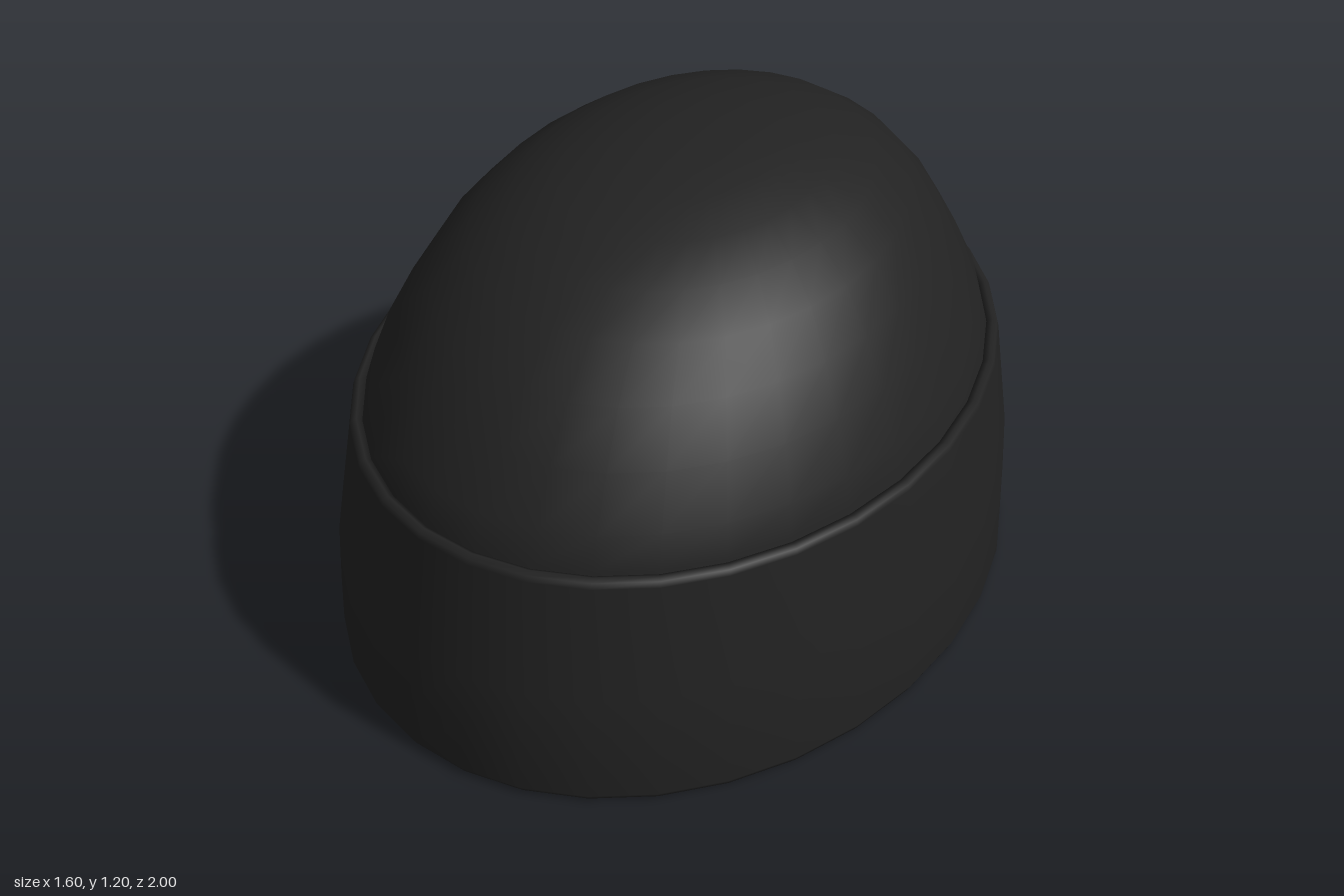
import * as THREE from 'three';

const SEGMENTS = 32;

// Skin a stack of elliptical rings [halfWidth, y, halfDepth, centreZ].
function loft(rings, { apex = null, loop = false } = {}) {
  const pos = [], index = [], n = rings.length;
  for (const [a, y, b, c] of rings) {
    for (let j = 0; j < SEGMENTS; j++) {
      const t = (j / SEGMENTS) * Math.PI * 2;
      pos.push(a * Math.cos(t), y, c + b * Math.sin(t));
    }
  }
  for (let i = 0; i < (loop ? n : n - 1); i++) {
    const lo = i * SEGMENTS, hi = ((i + 1) % n) * SEGMENTS;
    for (let j = 0; j < SEGMENTS; j++) {
      const k = (j + 1) % SEGMENTS;
      index.push(lo + j, hi + j, lo + k, hi + j, hi + k, lo + k);
    }
  }
  if (apex) {
    const tip = pos.length / 3, last = (n - 1) * SEGMENTS;
    pos.push(...apex);
    for (let j = 0; j < SEGMENTS; j++) index.push(last + j, tip, last + (j + 1) % SEGMENTS);
  }
  const geo = new THREE.BufferGeometry();
  geo.setAttribute('position', new THREE.Float32BufferAttribute(pos, 3));
  geo.setIndex(index);
  geo.computeVertexNormals();
  return geo;
}

export function createModel() {
  const group = new THREE.Group();
  group.name = 'knitCap';
  const wool = new THREE.MeshStandardMaterial({ color: 0x222222, side: THREE.DoubleSide });
  wool.name = 'blackWool';

  // Crown: an open shell whose peak leans slightly to the back
  const crown = new THREE.Mesh(loft([
    [0.77, 0.02, 0.965, 0],
    [0.765, 0.3, 0.955, 0],
    [0.742, 0.52, 0.93, -0.005],
    [0.72, 0.63, 0.908, -0.008],
    [0.7, 0.71, 0.88, -0.012],
    [0.645, 0.83, 0.81, -0.025],
    [0.58, 0.945, 0.728, -0.04],
    [0.5, 1.037, 0.628, -0.062],
    [0.41, 1.105, 0.522, -0.075],
    [0.31, 1.152, 0.395, -0.08],
    [0.2, 1.182, 0.25, -0.08],
    [0.1, 1.194, 0.125, -0.08],
  ], { apex: [0, 1.196, -0.08] }), wool);
  crown.name = 'crown';

  // Folded cuff: closed band with softened edges
  const cuff = new THREE.Mesh(loft([
    [0.765, 0.01, 0.96, 0],
    [0.775, 0, 0.975, 0],
    [0.79, 0.002, 0.99, 0],
    [0.798, 0.018, 1, 0],
    [0.796, 0.15, 0.997, 0],
    [0.791, 0.31, 0.99, 0],
    [0.754, 0.608, 0.942, -0.007],
    [0.75, 0.623, 0.937, -0.007],
    [0.738, 0.628, 0.923, -0.008],
    [0.722, 0.62, 0.908, -0.008],
    [0.745, 0.5, 0.934, -0.005],
    [0.768, 0.3, 0.958, 0],
  ], { loop: true }), wool);
  cuff.name = 'foldedCuff';

  group.add(crown, cuff);
  return group;
}
